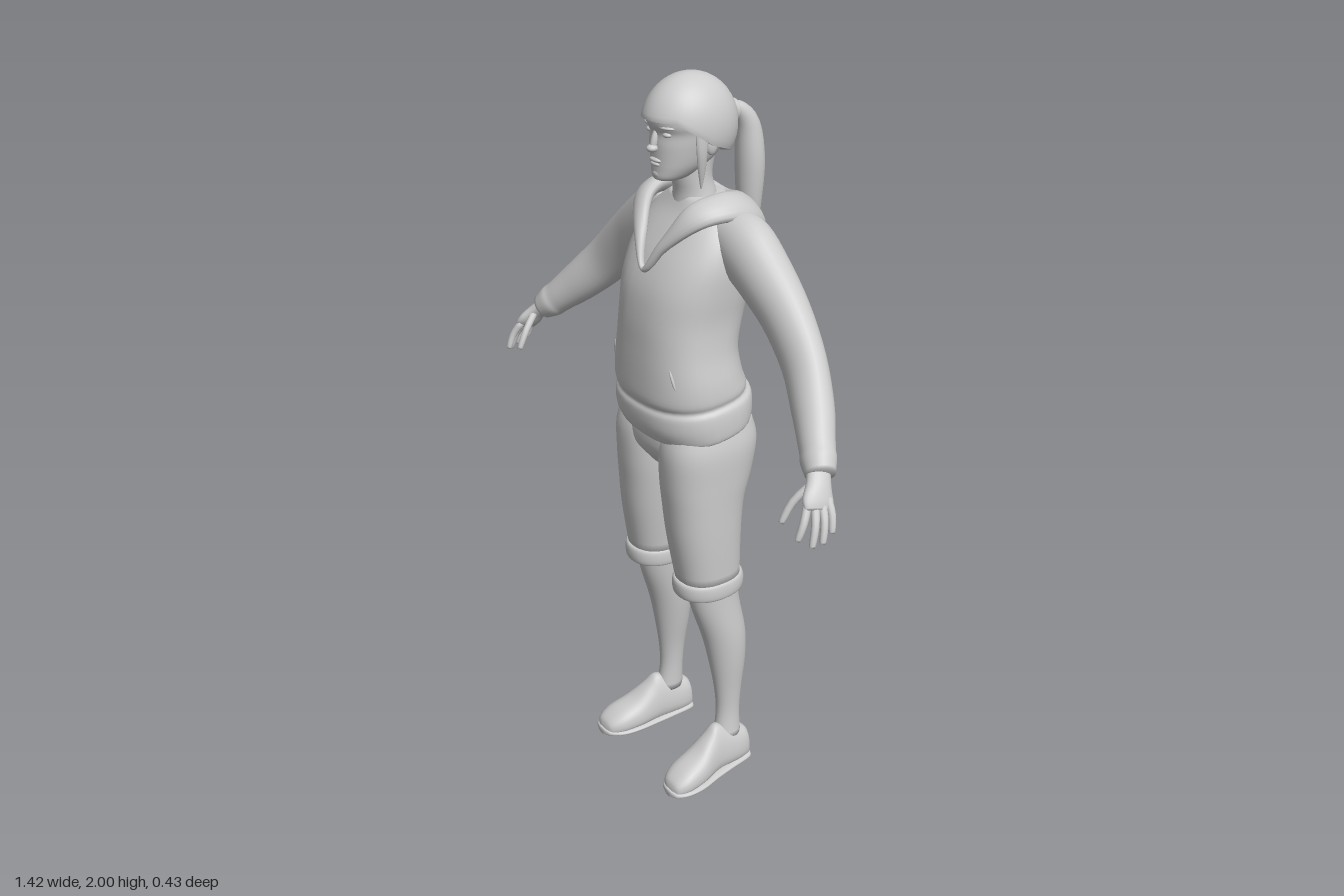
import * as THREE from 'three';

const V = (x, y, z) => new THREE.Vector3(x, y, z);
const pow = (v, n) => Math.sign(v) * Math.abs(v) ** (2 / n);

// Joins rings of points into a smooth skin, facing outward; ends are capped unless it is a loop
function skin(rings, loop = false) {
  const m = rings[0].length, pts = rings.flat(), idx = [];
  const last = loop ? rings.length : rings.length - 1;
  for (let i = 0; i < last; i++) for (let j = 0; j < m; j++) {
    const a = i * m + j, b = i * m + (j + 1) % m;
    const c = ((i + 1) % rings.length) * m + j, d = ((i + 1) % rings.length) * m + (j + 1) % m;
    idx.push(a, b, c, b, d, c);
  }
  if (!loop) [0, rings.length - 1].forEach((r, end) => {
    const mid = rings[r].reduce((s, p) => s.add(p), V(0, 0, 0)).divideScalar(m);
    const k = pts.push(mid) - 1;
    for (let j = 0; j < m; j++) {
      const a = r * m + j, b = r * m + (j + 1) % m;
      idx.push(...(end ? [k, a, b] : [k, b, a]));
    }
  });
  let volume = 0;
  for (let i = 0; i < idx.length; i += 3)
    volume += pts[idx[i]].dot(V(0, 0, 0).crossVectors(pts[idx[i + 1]], pts[idx[i + 2]]));
  if (volume < 0) idx.reverse();
  const g = new THREE.BufferGeometry().setFromPoints(pts);
  g.setIndex(idx);
  g.computeVertexNormals();
  return g;
}

const curve = (pts, closed = false) => new THREE.CatmullRomCurve3(pts, closed, 'catmullrom', 0.5);
const ringOf = (n, f) => Array.from({ length: n }, (_, j) => f((j / n) * Math.PI * 2));
const steps = (n, f) => Array.from({ length: n + 1 }, (_, i) => f(i / n));

// Level rings: [y, centre x, half width, front z, back z]
function stack(keys, n = 2, sub = 4, warp = p => p) {
  const c = curve(keys.map(k => V(k[1], k[0], 0))), s = curve(keys.map(k => V(k[2], k[3], k[4])));
  return steps((keys.length - 1) * sub, t => {
    const p = c.getPoint(t), q = s.getPoint(t);
    return ringOf(36, a => warp(V(p.x + q.x * pow(Math.cos(a), n), p.y,
      (q.y + q.z) / 2 + (q.y - q.z) / 2 * pow(Math.sin(a), n))));
  });
}

// Rings square to a path: [x, y, z, half size across, half size along ref]
function limb(keys, ref = V(0, 0, 1), sub = 4, n = 20) {
  const c = curve(keys.map(k => V(k[0], k[1], k[2]))), s = curve(keys.map(k => V(k[3], k[4], 0)));
  return steps((keys.length - 1) * sub, t => {
    const p = c.getPoint(t), q = s.getPoint(t), T = c.getTangent(t);
    const B = ref.clone().addScaledVector(T, -ref.dot(T)).normalize();
    const N = V(0, 0, 0).crossVectors(T, B);
    return ringOf(n, a => p.clone().addScaledVector(N, q.x * Math.cos(a)).addScaledVector(B, q.y * Math.sin(a)));
  });
}

// Shoe rings running from heel to toe: [z, centre x, half width, height]
function shoe(keys) {
  const c = curve(keys.map(k => V(k[1], 0, k[0]))), s = curve(keys.map(k => V(k[2], k[3], 0)));
  return steps((keys.length - 1) * 4, t => {
    const p = c.getPoint(t), q = s.getPoint(t);
    return ringOf(28, a => {
      const y = q.y / 2 * (1 + pow(Math.sin(a), 2.6));
      return V(p.x + q.x * (1 - 2 * y * y / 0.1) * pow(Math.cos(a), 2.6), y, p.z);
    });
  });
}

export function createModel() {
  const model = new THREE.Group();
  const grey = new THREE.MeshStandardMaterial({ color: 0xcccccc });
  grey.name = 'plain grey';
  const add = (name, g) => {
    const mesh = new THREE.Mesh(g, grey);
    mesh.name = name;
    model.add(mesh);
    return mesh;
  };
  const pair = (name, rings) => {
    add('left' + name, skin(rings));
    add('right' + name, skin(rings.map(r => r.map(p => V(-p.x, p.y, p.z)))));
  };
  const ball = (name, x, y, z, a, b, c, rx = 0) => {
    const mesh = add(name, new THREE.SphereGeometry(1, 20, 14).scale(a, b, c).rotateX(rx));
    mesh.position.set(x, y, z);
    return mesh;
  };

  // Hoodie body, its hem dipping at the front
  add('hoodieBody', skin(stack([
    [1.09, 0, 0.185, 0.155, -0.1], [1.097, 0, 0.198, 0.168, -0.112], [1.135, 0, 0.2, 0.185, -0.118],
    [1.17, 0, 0.196, 0.188, -0.115], [1.185, 0, 0.186, 0.182, -0.102], [1.205, 0, 0.19, 0.19, -0.1],
    [1.25, 0, 0.186, 0.19, -0.086], [1.32, 0, 0.173, 0.187, -0.08], [1.4, 0, 0.168, 0.182, -0.1],
    [1.48, 0, 0.175, 0.168, -0.118], [1.55, 0, 0.178, 0.138, -0.122], [1.61, 0, 0.165, 0.1, -0.115],
    [1.66, 0, 0.13, 0.065, -0.1], [1.7, 0, 0.07, 0.045, -0.07],
  ], 2.4, 4, p => {
    p.y += 0.18 * (0.03 - p.z) * THREE.MathUtils.clamp((1.28 - p.y) / 0.15, 0, 1);
    return p;
  })));

  // Hood lying around the neck: inner and outer edges from the V at the front to the back
  const inner = [[0, 1.53, 0.15], [0.04, 1.61, 0.118], [0.075, 1.69, 0.075], [0.088, 1.712, 0], [0.065, 1.7, -0.07], [0, 1.685, -0.095]];
  const outer = [[0, 1.518, 0.158], [0.062, 1.585, 0.136], [0.145, 1.658, 0.07], [0.165, 1.662, -0.03], [0.12, 1.605, -0.13], [0, 1.54, -0.15]];
  const around = h => curve([...h, ...h.slice(1, -1).reverse().map(([x, y, z]) => [-x, y, z])].map(p => V(...p)), true);
  const ci = around(inner), co = around(outer);
  add('hood', skin(steps(79, u => {
    const t = u * 79 / 80, I = ci.getPoint(t), O = co.getPoint(t), D = O.clone().sub(I);
    const T = ci.getTangent(t).add(co.getTangent(t));
    const N = V(0, 0, 0).crossVectors(D, T).normalize();
    const thick = 0.008 + 0.02 * Math.sin(t * Math.PI);
    return ringOf(16, a => I.clone().addScaledVector(D, 0.5 + 0.5 * Math.cos(a)).addScaledVector(N, thick * Math.sin(a)));
  }), true));

  // Pocket slits
  for (const s of [-1, 1]) {
    const slit = ball('pocketSlit', s * 0.13, 1.265, 0.158, 0.004, 0.03, 0.005);
    slit.rotation.set(0, s * 0.6, s * 0.3);
  }

  // Sleeves with gathered cuffs
  pair('Sleeve', limb([
    [0.1, 1.63, -0.03, 0.06, 0.06], [0.17, 1.593, -0.033, 0.088, 0.07], [0.25, 1.54, -0.033, 0.082, 0.067],
    [0.34, 1.47, -0.03, 0.074, 0.058], [0.43, 1.383, -0.015, 0.069, 0.05], [0.51, 1.305, 0.02, 0.06, 0.049],
    [0.565, 1.252, 0.052, 0.05, 0.044], [0.585, 1.233, 0.064, 0.047, 0.042], [0.6, 1.219, 0.073, 0.046, 0.043],
    [0.625, 1.197, 0.087, 0.036, 0.036],
  ], V(0, 0, 1), 4, 28));

  // Hands
  pair('Palm', limb([
    [0.6, 1.22, 0.075, 0.022, 0.03], [0.635, 1.185, 0.1, 0.02, 0.032], [0.655, 1.155, 0.117, 0.018, 0.042],
    [0.667, 1.135, 0.124, 0.012, 0.038],
  ]));
  const fingers = {
    IndexFinger: [[0.654, 1.15, 0.148], [0.667, 1.115, 0.168], [0.668, 1.078, 0.184]],
    MiddleFinger: [[0.662, 1.145, 0.131], [0.684, 1.11, 0.147], [0.694, 1.066, 0.162]],
    RingFinger: [[0.665, 1.145, 0.112], [0.688, 1.112, 0.123], [0.7, 1.07, 0.136]],
    LittleFinger: [[0.662, 1.155, 0.094], [0.684, 1.122, 0.098], [0.696, 1.086, 0.106]],
    Thumb: [[0.632, 1.19, 0.11], [0.612, 1.145, 0.155], [0.606, 1.098, 0.182]],
  };
  for (const [name, [a, b, c]] of Object.entries(fingers)) {
    const tip = c.map((v, i) => v + (c[i] - b[i]) * 0.12);
    pair(name, limb([[...a, 0.011, 0.011], [...b, 0.01, 0.01], [...c, 0.008, 0.008], [...tip, 0.002, 0.002]], V(0, 0, 1), 3, 10));
  }

  // Rolled shorts
  add('shortsSeat', skin(stack([
    [1.17, 0, 0.175, 0.145, -0.085], [1.08, 0, 0.192, 0.158, -0.1], [1.02, 0, 0.18, 0.155, -0.088], [0.97, 0, 0.08, 0.12, -0.05],
  ], 2.4)));
  pair('ShortsLeg', stack([
    [1.12, 0.094, 0.09, 0.14, -0.095], [1.05, 0.1, 0.1, 0.162, -0.109], [0.96, 0.101, 0.099, 0.162, -0.092],
    [0.88, 0.104, 0.094, 0.156, -0.066], [0.78, 0.109, 0.087, 0.147, -0.056], [0.64, 0.115, 0.076, 0.125, -0.052],
  ], 2.3));
  pair('ShortsCuff', stack([
    [0.655, 0.115, 0.07, 0.115, -0.045], [0.652, 0.115, 0.08, 0.133, -0.06], [0.63, 0.115, 0.083, 0.137, -0.066],
    [0.608, 0.115, 0.08, 0.133, -0.062], [0.603, 0.115, 0.068, 0.12, -0.05],
  ], 2.2));

  // Bare lower legs
  pair('LowerLeg', stack([
    [0.66, 0.118, 0.06, 0.108, -0.045], [0.56, 0.123, 0.058, 0.092, -0.055], [0.45, 0.13, 0.056, 0.058, -0.073],
    [0.36, 0.135, 0.048, 0.038, -0.072], [0.26, 0.139, 0.035, 0.022, -0.06], [0.18, 0.141, 0.03, 0.018, -0.054],
    [0.1, 0.145, 0.033, 0.03, -0.055],
  ]));

  // Shoes and soles
  pair('Shoe', shoe([
    [-0.08, 0.144, 0.015, 0.05], [-0.074, 0.144, 0.034, 0.1], [-0.04, 0.146, 0.043, 0.118], [0, 0.148, 0.045, 0.138],
    [0.035, 0.15, 0.046, 0.154], [0.065, 0.154, 0.049, 0.128], [0.11, 0.161, 0.055, 0.092], [0.165, 0.168, 0.053, 0.068],
    [0.2, 0.172, 0.037, 0.045], [0.21, 0.173, 0.015, 0.025],
  ]));
  pair('Sole', shoe([
    [-0.083, 0.144, 0.018, 0.02], [-0.07, 0.145, 0.04, 0.022], [0, 0.15, 0.047, 0.02], [0.06, 0.156, 0.053, 0.02],
    [0.12, 0.164, 0.06, 0.02], [0.17, 0.169, 0.056, 0.02], [0.205, 0.173, 0.038, 0.02], [0.216, 0.174, 0.014, 0.018],
  ]));

  // Neck and head
  add('neck', skin(stack([
    [1.64, 0, 0.075, 0.06, -0.065], [1.7, 0, 0.058, 0.052, -0.055], [1.75, 0, 0.052, 0.058, -0.044], [1.82, 0, 0.056, 0.06, -0.06],
  ])));
  add('head', skin(stack([
    [1.744, 0, 0.018, 0.1, 0.06], [1.752, 0, 0.038, 0.116, 0.02], [1.775, 0, 0.056, 0.117, -0.02], [1.8, 0, 0.068, 0.117, -0.055],
    [1.835, 0, 0.078, 0.117, -0.08], [1.865, 0, 0.084, 0.115, -0.095], [1.89, 0, 0.088, 0.125, -0.1],
    [1.93, 0, 0.085, 0.122, -0.095], [1.97, 0, 0.055, 0.08, -0.055],
  ], 2.15)));

  // Face
  ball('noseBridge', 0, 1.85, 0.115, 0.009, 0.032, 0.011, -0.3);
  ball('noseTip', 0, 1.829, 0.123, 0.014, 0.01, 0.016);
  ball('upperLip', 0, 1.799, 0.115, 0.022, 0.006, 0.009);
  ball('lowerLip', 0, 1.789, 0.114, 0.018, 0.006, 0.009);
  ball('chin', 0, 1.763, 0.106, 0.02, 0.014, 0.013);
  for (const s of [-1, 1]) {
    ball('eye', s * 0.034, 1.866, 0.103, 0.014, 0.007, 0.011);
    ball('brow', s * 0.036, 1.884, 0.106, 0.024, 0.006, 0.012).rotation.y = s * 0.35;
    ball('ear', s * 0.084, 1.84, 0.008, 0.01, 0.028, 0.017);
  }

  // Hair cap: high over the forehead, low at the nape
  const cap = (k, s) => ringOf(40, a => {
    const front = Math.sin(a);
    const low = front > 0 ? THREE.MathUtils.lerp(1.84, 1.9, Math.min(1, front * 1.4)) : 1.84 + 0.045 * front;
    const th = k * Math.acos((low - 1.87) / 0.13);
    return V(0.104 * s * Math.sin(th) * Math.cos(a), 1.87 + 0.13 * Math.cos(th), 0.014 + 0.128 * s * Math.sin(th) * front);
  });
  add('hairCap', skin([...steps(13, t => cap(0.04 + 0.96 * t, 1)), cap(1, 0.97), cap(1, 0.8)]));

  // Side locks
  pair('SideLock', limb([
    [0.09, 1.89, 0.04, 0.006, 0.02], [0.09, 1.83, 0.04, 0.007, 0.016], [0.083, 1.78, 0.036, 0.006, 0.011], [0.075, 1.73, 0.032, 0.002, 0.002],
  ], V(0, 0, 1), 4, 10));

  // Ponytail and its tie
  add('ponytail', skin(limb([
    [0, 1.88, -0.09, 0.02, 0.02], [0, 1.885, -0.13, 0.022, 0.022], [0, 1.84, -0.165, 0.032, 0.032], [0, 1.75, -0.174, 0.037, 0.042],
    [0, 1.65, -0.174, 0.032, 0.036], [0, 1.57, -0.176, 0.02, 0.022], [0, 1.52, -0.17, 0.002, 0.003],
  ], V(1, 0, 0))));
  add('hairTie', new THREE.TorusGeometry(0.022, 0.008, 10, 24)).position.set(0, 1.885, -0.118);

  return model;
}
